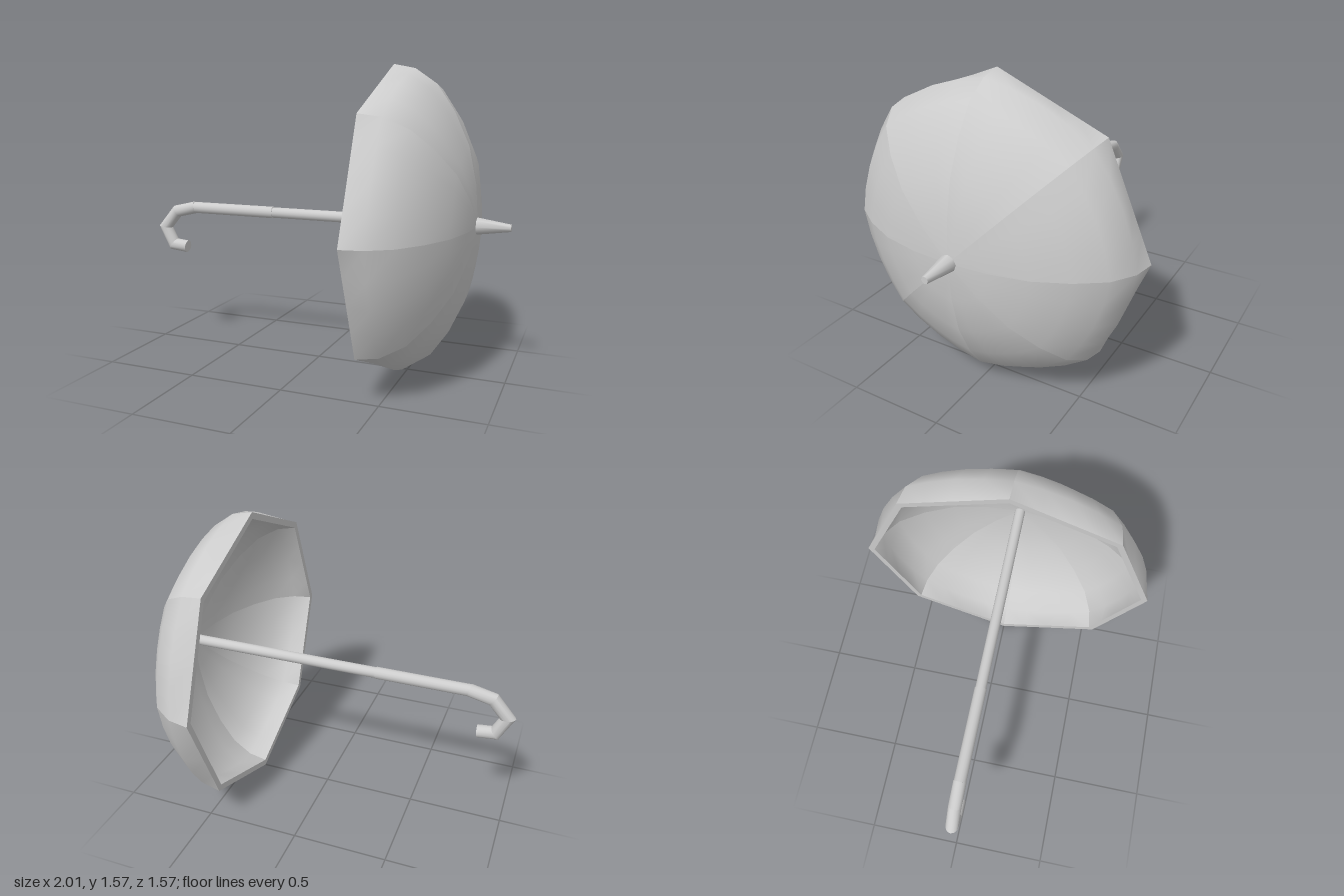
import * as THREE from 'three';
import { toCreasedNormals } from 'three/addons/utils/BufferGeometryUtils.js';

const AXIS_Y = 0.785;
const RIBS = 8;
const STEP = (Math.PI * 2) / RIBS;

// Surface from a grid of points; point(row, col) returns [x, y, z]
function grid(rows, cols, point) {
  const positions = [], index = [];
  for (let i = 0; i <= rows; i++) {
    for (let j = 0; j <= cols; j++) positions.push(...point(i, j));
  }
  for (let i = 0; i < rows; i++) {
    for (let j = 0; j < cols; j++) {
      const a = i * (cols + 1) + j, c = a + cols + 1;
      index.push(a, a + 1, c, a + 1, c + 1, c);
    }
  }
  const geometry = new THREE.BufferGeometry();
  geometry.setAttribute('position', new THREE.Float32BufferAttribute(positions, 3));
  geometry.setIndex(index);
  geometry.computeVertexNormals();
  return geometry;
}

// One canopy panel between two ribs; profile entries are [x, rib radius, bulge]
function panel(profile) {
  const cols = 4;
  return grid(profile.length - 1, cols, (i, j) => {
    const [x, r, bulge] = profile[i];
    const t = j / cols, a = t * STEP;
    const y = THREE.MathUtils.lerp(1 - t + t * Math.cos(STEP), Math.cos(a), bulge);
    const z = THREE.MathUtils.lerp(t * Math.sin(STEP), Math.sin(a), bulge);
    return [x, r * y, r * z];
  });
}

// Mitred round tube along a flat path, closed at both ends
function bentTube(path, radius, sides) {
  const rings = path.map(([x, y], i) => {
    const p = new THREE.Vector2(x, y);
    const before = i > 0 ? p.clone().sub(new THREE.Vector2(...path[i - 1])).normalize() : null;
    const after = i < path.length - 1 ? new THREE.Vector2(...path[i + 1]).sub(p).normalize() : null;
    const d = (before || after).clone().add(after || before).normalize();
    return { p, n: new THREE.Vector2(-d.y, d.x), miter: 1 / d.dot(after || before), r: radius };
  });
  rings.unshift({ ...rings[0], r: 0 });
  rings.push({ ...rings[rings.length - 1], r: 0 });
  const geometry = grid(rings.length - 1, sides, (i, j) => {
    const { p, n, miter, r } = rings[i];
    const a = (j / sides) * Math.PI * 2, k = Math.cos(a) * r * miter;
    return [p.x + n.x * k, p.y + n.y * k, Math.sin(a) * r];
  });
  return toCreasedNormals(geometry, 0.5);
}

// Straight or tapered rod along x
function rod(x0, x1, r0, r1, sides) {
  const geometry = new THREE.CylinderGeometry(r1, r0, x1 - x0, sides);
  geometry.rotateZ(-Math.PI / 2);
  geometry.translate((x0 + x1) / 2, 0, 0);
  return geometry;
}

export function createModel() {
  const model = new THREE.Group();
  model.name = 'umbrella';
  const grey = new THREE.MeshStandardMaterial({ color: 0xcccccc });
  grey.name = 'lightGrey';

  const add = (name, geometry, parent = model) => {
    const mesh = new THREE.Mesh(geometry, grey);
    mesh.name = name;
    parent.add(mesh);
    return mesh;
  };

  // Canopy: straight-edged at the rim, puffed between the ribs above it
  const b = 0.65;
  const outer = [
    [0.4, 0.785, 0], [0.51, 0.763, b], [0.62, 0.687, b], [0.71, 0.555, b],
    [0.785, 0.39, b], [0.825, 0.2, b], [0.838, 0, b],
  ];
  const inner = [
    [0.4, 0.75, 0], [0.5, 0.728, b], [0.6, 0.656, b], [0.685, 0.53, b],
    [0.755, 0.372, b], [0.793, 0.19, b], [0.806, 0, b],
  ].reverse();
  const rim = [[0.4, 0.75, 0], [0.4, 0.785, 0]];

  const canopy = new THREE.Group();
  canopy.name = 'canopy';
  canopy.position.y = AXIS_Y;
  model.add(canopy);
  const parts = { outerPanel: panel(outer), innerPanel: panel(inner), rimEdge: panel(rim) };
  for (let k = 0; k < RIBS; k++) {
    for (const [name, geometry] of Object.entries(parts)) {
      add(name, geometry, canopy).rotation.x = k * STEP;
    }
  }

  // Shaft in two telescoping tubes
  add('lowerShaft', rod(-0.77, -0.27, 0.032, 0.032, 16)).position.y = AXIS_Y;
  add('upperShaft', rod(-0.28, 0.82, 0.029, 0.029, 16)).position.y = AXIS_Y;

  // Tip beyond the canopy
  add('ferrule', rod(0.835, 1, 0.043, 0.018, 8)).position.y = AXIS_Y;

  // Hooked handle
  const hook = [[-0.76, 0.786], [-0.885, 0.757], [-0.965, 0.663], [-0.912, 0.562], [-0.822, 0.553]];
  add('handle', bentTube(hook, 0.034, 16));

  return model;
}
